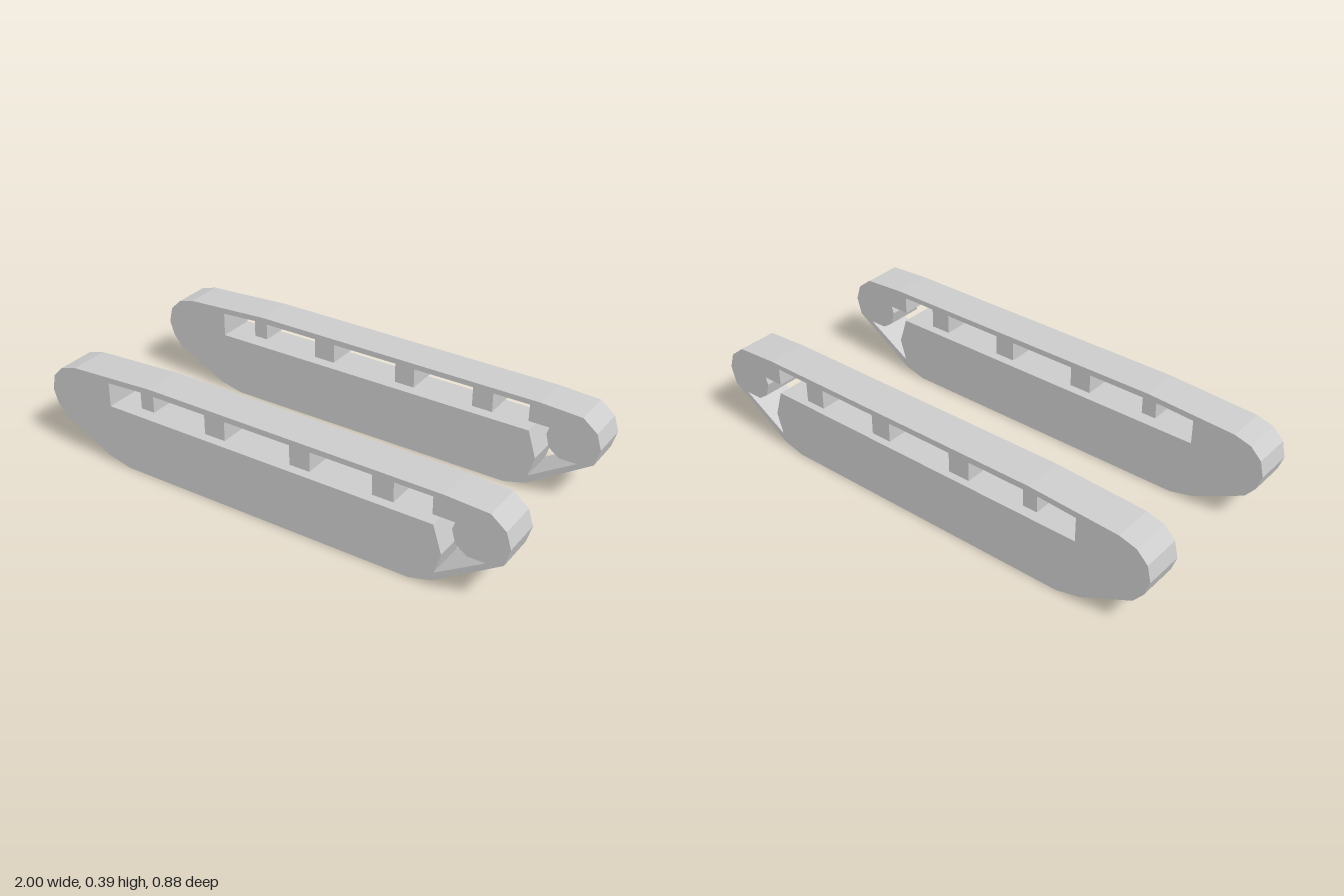
import * as THREE from 'three';

const points = (list) => list.map(([x, y]) => new THREE.Vector2(x, y));

// Side profile of one track
const OUTLINE = [
  [-0.63, 0], [0.63, 0], [0.72, 0.025], [0.98, 0.195], [1, 0.265], [0.98, 0.328],
  [0.92, 0.376], [0.75, 0.386], [-0.5, 0.39], [-0.87, 0.37], [-0.94, 0.35],
  [-0.985, 0.305], [-1, 0.24], [-0.98, 0.18], [-0.94, 0.13], [-0.73, 0.025],
];

// Support blocks hanging under the upper run: right edge, left edge, bottom
const SUPPORTS = [
  [0.56, 0.475, 0.285], [0.22, 0.135, 0.285], [-0.15, -0.24, 0.285], [-0.48, -0.54, 0.297],
];
const RUN_UNDERSIDE = 0.365;

function createOpening() {
  // Lower edge, then the gap around the wheel at the +x end
  const list = [
    [-0.7, 0.255], [0.715, 0.255], [0.75, 0.145], [0.725, 0.06], [0.915, 0.178],
    [0.845, 0.178], [0.8, 0.21], [0.785, 0.265], [0.795, 0.295],
    [0.71, 0.295], [0.71, RUN_UNDERSIDE],
  ];
  // Step around each support block
  for (const [right, left, bottom] of SUPPORTS) {
    list.push([right, RUN_UNDERSIDE], [right, bottom], [left, bottom], [left, RUN_UNDERSIDE]);
  }
  list.push([-0.7, 0.355]);
  return new THREE.Path(points(list));
}

export function createModel() {
  const model = new THREE.Group();
  model.name = 'trackPair';

  const profile = new THREE.Shape(points(OUTLINE));
  profile.holes.push(createOpening());

  const width = 0.16;
  const geometry = new THREE.ExtrudeGeometry(profile, { depth: width, bevelEnabled: false });
  geometry.translate(0, 0, -width / 2);
  const material = new THREE.MeshStandardMaterial({ color: 0xcccccc, flatShading: true });

  // Two identical tracks, front and back
  for (const [name, z] of [['frontTrack', 0.36], ['backTrack', -0.36]]) {
    const track = new THREE.Mesh(geometry, material);
    track.name = name;
    track.position.z = z;
    model.add(track);
  }
  return model;
}
